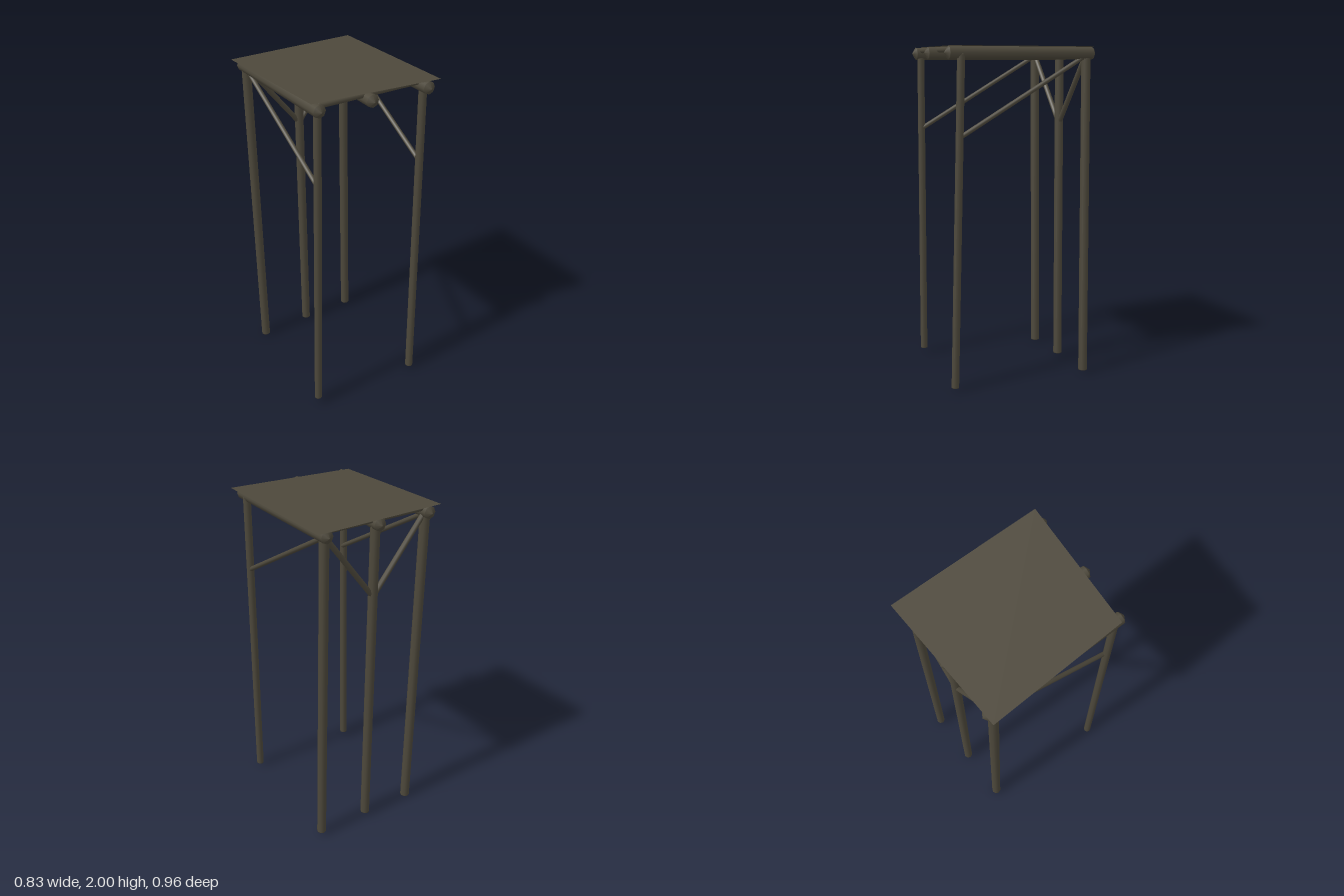
import * as THREE from 'three';

const UP = new THREE.Vector3(0, 1, 0);

export function createModel() {
  const model = new THREE.Group();
  model.name = 'polePlatform';
  const wood = new THREE.MeshStandardMaterial({ color: 0x4d483b, side: THREE.DoubleSide });
  wood.name = 'darkWood';

  // Round log between two points, with low conical ends
  function log(name, from, to, radius, tip = 0.005, sides = 8) {
    const a = new THREE.Vector3(...from);
    const dir = new THREE.Vector3(...to).sub(a);
    const len = dir.length();
    const profile = [
      [0, 0], [radius, tip], [radius, tip + 0.004],
      [radius, len - tip - 0.004], [radius, len - tip], [0, len],
    ].map(([x, y]) => new THREE.Vector2(x, y));
    const mesh = new THREE.Mesh(new THREE.LatheGeometry(profile, sides), wood);
    mesh.name = name;
    mesh.position.copy(a);
    mesh.quaternion.setFromUnitVectors(UP, dir.normalize());
    model.add(mesh);
  }

  // Posts: three at the back, two thinner ones at the front
  log('backPostRight', [-0.305, 0, -0.41], [-0.345, 1.96, -0.41], 0.029);
  log('backPostMiddle', [0.025, 0.012, -0.41], [0, 1.96, -0.41], 0.028);
  log('backPostLeft', [0.36, 0.012, -0.41], [0.33, 1.96, -0.41], 0.028);
  log('frontPostRight', [-0.368, 0.035, 0.385], [-0.35, 1.96, 0.38], 0.023);
  log('frontPostLeft', [0.315, 0.014, 0.425], [0.338, 1.96, 0.38], 0.024);

  // Beams running front to back under the deck
  log('beamRight', [-0.345, 1.961, -0.475], [-0.355, 1.961, 0.435], 0.037, 0.023);
  log('beamMiddle', [0, 1.961, -0.475], [-0.045, 1.961, 0.465], 0.037, 0.023);
  log('beamLeft', [0.335, 1.961, -0.47], [0.325, 1.961, 0.475], 0.037, 0.023);

  // Cross rails
  log('backRail', [-0.345, 1.981, -0.41], [0.33, 1.981, -0.41], 0.017);
  log('frontRail', [-0.35, 1.981, 0.38], [0.335, 1.981, 0.38], 0.017);

  // Diagonal braces: a V at the back and one along each side
  for (const [side, x] of [['Right', -0.345], ['Left', 0.335]]) {
    log('backBrace' + side, [0.005, 1.53, -0.41], [x, 1.96, -0.41], 0.016);
    log('sideBrace' + side, [x, 1.5, 0.38], [x, 1.95, -0.41], 0.014);
  }

  // Slightly skewed deck sheet
  const corners = [[-0.415, -0.46], [-0.39, 0.385], [0.4, 0.455], [0.415, -0.48]];
  const deckGeo = new THREE.BufferGeometry();
  deckGeo.setAttribute('position',
    new THREE.Float32BufferAttribute(corners.flatMap(([x, z]) => [x, 2, z]), 3));
  deckGeo.setIndex([0, 1, 2, 0, 2, 3]);
  deckGeo.computeVertexNormals();
  const deck = new THREE.Mesh(deckGeo, wood);
  deck.name = 'deck';
  model.add(deck);

  return model;
}
